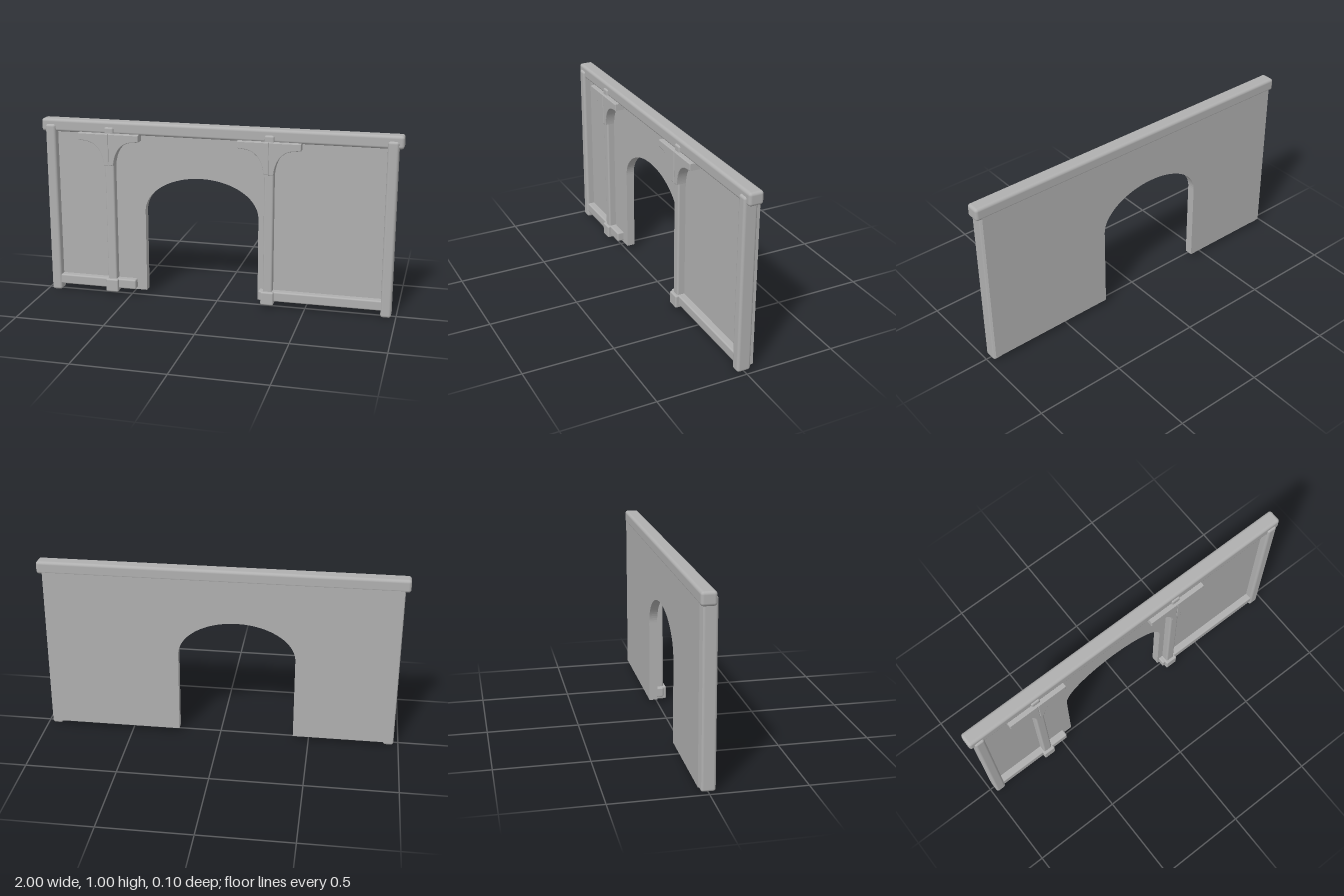
import * as THREE from 'three';
import { RoundedBoxGeometry } from 'three/addons/geometries/RoundedBoxGeometry.js';

const stone = new THREE.MeshStandardMaterial({ color: 0xb0b0b0 });
stone.name = 'grey stone';

// Rounded block given by its minimum and maximum on each axis
function block(name, [x0, x1], [y0, y1], [z0, z1], radius) {
  const geometry = new RoundedBoxGeometry(x1 - x0, y1 - y0, z1 - z0, 3, radius);
  const mesh = new THREE.Mesh(geometry, stone);
  mesh.position.set((x0 + x1) / 2, (y0 + y1) / 2, (z0 + z1) / 2);
  mesh.name = name;
  return mesh;
}

function extrude(name, shape, z0, z1, bevel = 0) {
  const geometry = new THREE.ExtrudeGeometry(shape, {
    depth: z1 - z0 - 2 * bevel, curveSegments: 24,
    bevelEnabled: bevel > 0, bevelSize: bevel, bevelOffset: -bevel,
    bevelThickness: bevel, bevelSegments: 2,
  });
  geometry.translate(0, 0, z0 + bevel);
  const mesh = new THREE.Mesh(geometry, stone);
  mesh.name = name;
  return mesh;
}

// Wall panel with an off-centre arched doorway open at the bottom
function wall() {
  const s = new THREE.Shape();
  s.moveTo(-0.968, 0.03);
  s.lineTo(-0.413, 0.03);
  s.lineTo(-0.413, 0.5);
  s.absellipse(-0.091, 0.5, 0.322, 0.205, Math.PI, 0, true);
  s.lineTo(0.231, 0.03);
  s.lineTo(0.968, 0.03);
  s.lineTo(0.968, 0.97);
  s.lineTo(-0.968, 0.97);
  s.closePath();
  return extrude('archedWall', s, -0.051, -0.005);
}

// One half of a bracket, with a concave underside; side is +1 or -1
function bracketHalf(side) {
  const s = new THREE.Shape();
  s.moveTo(0, 0.763);
  s.lineTo(side * 0.027, 0.763);
  s.bezierCurveTo(side * 0.035, 0.845, side * 0.075, 0.893, side * 0.135, 0.898);
  s.lineTo(side * 0.173, 0.902);
  s.lineTo(side * 0.173, 0.941);
  s.lineTo(0, 0.941);
  s.closePath();
  return extrude('bracketHalf', s, -0.01, 0.051, 0.004);
}

// Slim post with a foot block and a double bracket
function bracketedPost(x) {
  const g = new THREE.Group();
  g.name = 'bracketedPost';
  g.add(
    block('post', [-0.026, 0.026], [0.02, 0.975], [-0.035, 0.037], 0.01),
    block('postFoot', [-0.036, 0.036], [0.022, 0.097], [-0.03, 0.053], 0.008),
    bracketHalf(1),
    bracketHalf(-1),
  );
  g.position.x = x;
  return g;
}

export function createModel() {
  const model = new THREE.Group();
  model.name = 'archedWallSection';
  model.add(wall());
  model.add(block('topBeam', [-1, 1], [0.935, 1.006], [-0.052, 0.028], 0.016));

  // End pillars
  for (const side of [-1, 1]) {
    const x = side * 0.945;
    model.add(block('endPillar', [x - 0.029, x + 0.029], [0.003, 0.977], [-0.037, 0.039], 0.014));
  }

  for (const x of [-0.605, 0.293]) model.add(bracketedPost(x));

  // Skirting rails on either side of the doorway
  model.add(block('leftSkirting', [-0.93, -0.469], [0.04, 0.096], [-0.03, 0.034], 0.008));
  model.add(block('rightSkirting', [0.241, 0.93], [0.04, 0.096], [-0.03, 0.034], 0.008));
  return model;
}
